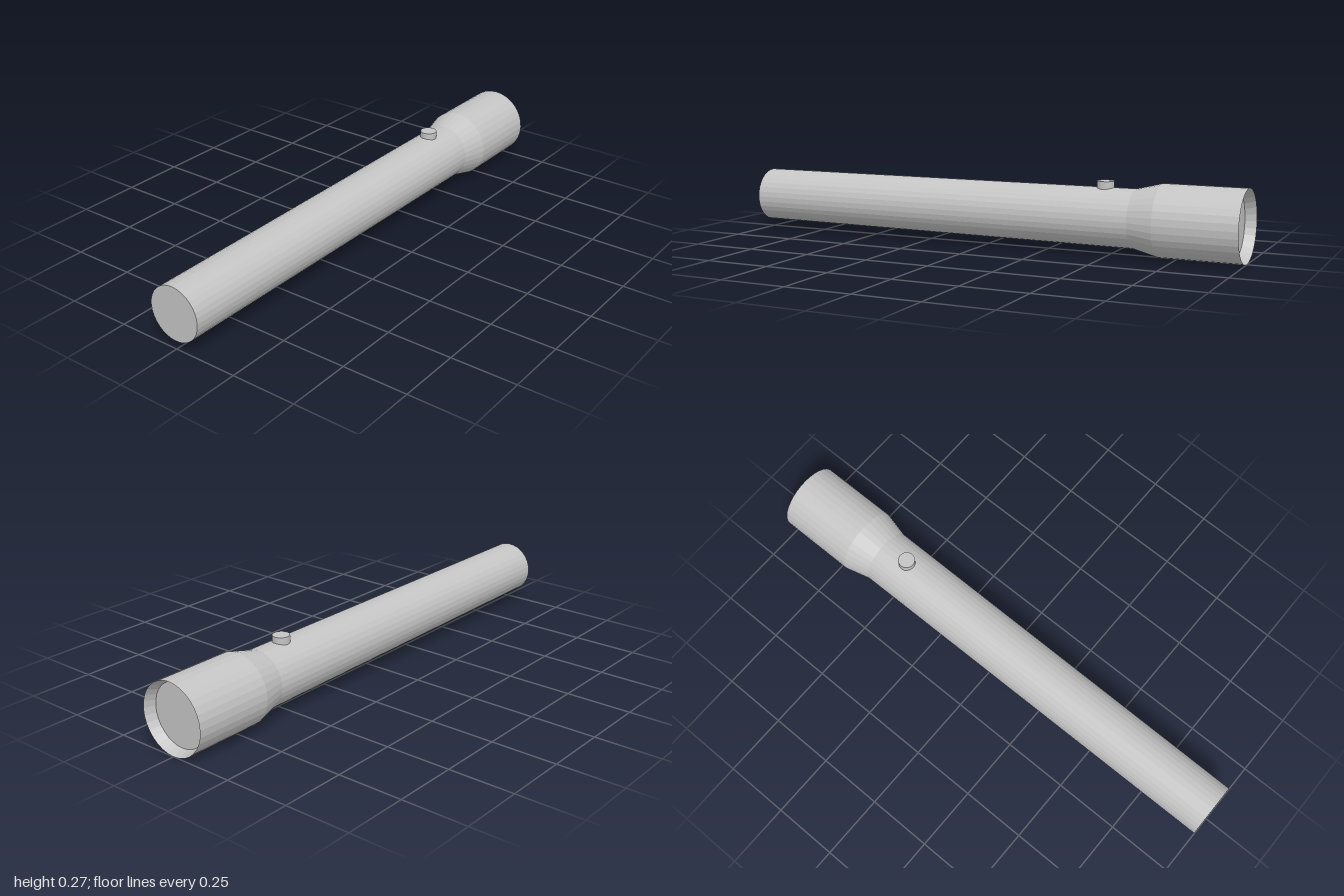
import * as THREE from 'three';

const SIDES = 32;
const AXIS_Y = 0.135;

export function createModel() {
  const torch = new THREE.Group();
  torch.name = 'flashlight';
  const grey = new THREE.MeshStandardMaterial({ color: 0xc4c4c4, flatShading: true });
  grey.name = 'lightGrey';

  // Revolves [radius, x] pairs around the long axis
  function turned(name, profile) {
    const geometry = new THREE.LatheGeometry(profile.map(([r, x]) => new THREE.Vector2(r, x)), SIDES);
    geometry.rotateZ(-Math.PI / 2);
    const mesh = new THREE.Mesh(geometry, grey);
    mesh.name = name;
    mesh.position.y = AXIS_Y;
    torch.add(mesh);
  }

  // Slightly tapered handle with a flat closed end
  turned('handle', [[0, -1], [0.104, -1], [0.11, 0.59]]);
  // Flare between handle and head
  turned('neck', [[0.11, 0.59], [0.135, 0.69]]);
  // Head with a bevelled inner rim
  turned('head', [[0.135, 0.69], [0.135, 1], [0.119, 0.96]]);
  // Recessed lens
  turned('lens', [[0.119, 0.96], [0, 0.96]]);

  // Round switch on top of the handle
  const button = new THREE.Mesh(new THREE.CylinderGeometry(0.032, 0.032, 0.04, SIDES), grey);
  button.name = 'switchButton';
  button.position.set(0.473, 0.248, 0);
  torch.add(button);

  return torch;
}
